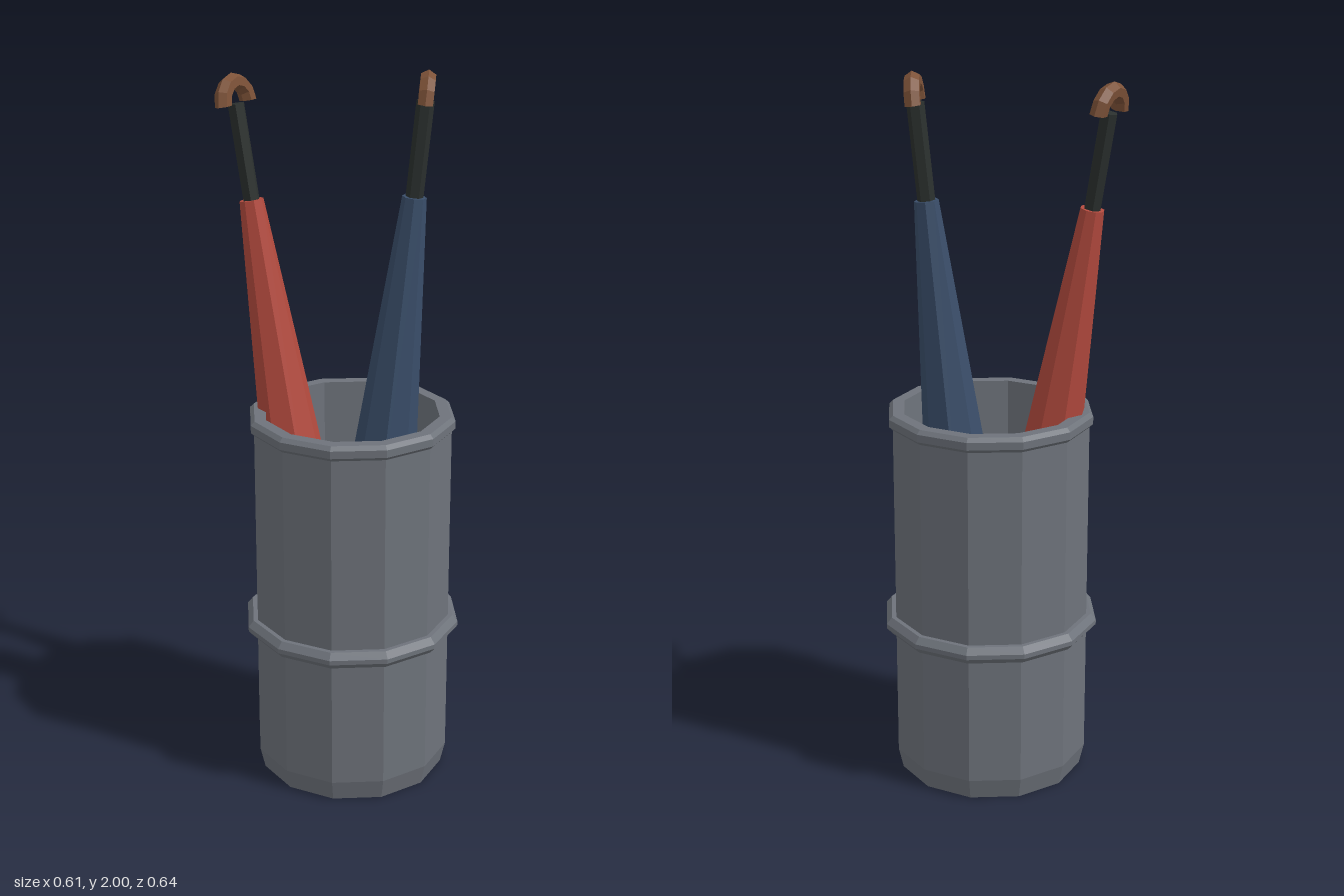
import * as THREE from 'three';

const material = (name, color) => {
  const m = new THREE.MeshStandardMaterial({ color, flatShading: true });
  m.name = name;
  return m;
};

function addMesh(parent, name, geometry, mat, x = 0, y = 0, z = 0) {
  const mesh = new THREE.Mesh(geometry, mat);
  mesh.name = name;
  mesh.position.set(x, y, z);
  parent.add(mesh);
  return mesh;
}

// Furled umbrella standing on its tip, handle arch across the lean direction
function createUmbrella(name, canopyMat, shaftMat, woodMat) {
  const group = new THREE.Group();
  group.name = name;
  const length = 1.88, low = 0.67, high = 1.622;

  addMesh(group, 'shaft', new THREE.CylinderGeometry(0.024, 0.024, length, 6), shaftMat, 0, length / 2);
  addMesh(group, 'canopy', new THREE.CylinderGeometry(0.033, 0.105, high - low, 8), canopyMat, 0, (low + high) / 2);

  // Arched handle with closed ends
  const handle = new THREE.Group();
  handle.name = 'handle';
  handle.position.y = length;
  group.add(handle);
  const R = 0.058, r = 0.023;
  addMesh(handle, 'handleArch', new THREE.TorusGeometry(R, r, 6, 6, Math.PI), woodMat);
  for (const side of [-1, 1]) {
    addMesh(handle, 'handleEnd', new THREE.CircleGeometry(r, 6).rotateX(Math.PI / 2), woodMat, side * R);
  }
  return group;
}

export function createModel() {
  const model = new THREE.Group();
  model.name = 'umbrellaStand';

  const steel = material('greySteel', 0x6e737b);
  const red = material('redCloth', 0xb34a3e);
  const blue = material('blueCloth', 0x3a4e6a);
  const dark = material('darkShaft', 0x2b302e);
  const wood = material('brownWood', 0x7d5238);

  // Hollow stand: outer wall, rolled rim, tapered inner wall, floor
  const profile = [
    [0, 0], [0.265, 0], [0.279, 0.06], [0.279, 1.035],
    [0.289, 1.045], [0.289, 1.066], [0.278, 1.077],
    [0.245, 1.077], [0.233, 0.05], [0, 0.05],
  ].map(([x, y]) => new THREE.Vector2(x, y));
  addMesh(model, 'stand', new THREE.LatheGeometry(profile, 12), steel, 0, 0, 0.015);

  // Raised band around the stand
  const band = [
    [0.275, 0.43], [0.292, 0.43], [0.307, 0.447], [0.307, 0.46], [0.292, 0.478], [0.275, 0.478],
  ].map(([x, y]) => new THREE.Vector2(x, y));
  addMesh(model, 'band', new THREE.LatheGeometry(band, 12), steel, 0, 0, 0.015);

  // Two leaning umbrellas: [name, cloth, base x, base z, tilt, yaw]
  const umbrellas = [
    ['redUmbrella', red, -0.063, 0.026, -0.17, 0.188],
    ['blueUmbrella', blue, 0.051, -0.023, 0.1, 0.67],
  ];
  for (const [name, cloth, x, z, tilt, yaw] of umbrellas) {
    const umbrella = createUmbrella(name, cloth, dark, wood);
    umbrella.position.set(x, 0.05, z);
    umbrella.rotation.set(tilt, yaw, 0, 'YXZ');
    model.add(umbrella);
  }

  return model;
}
